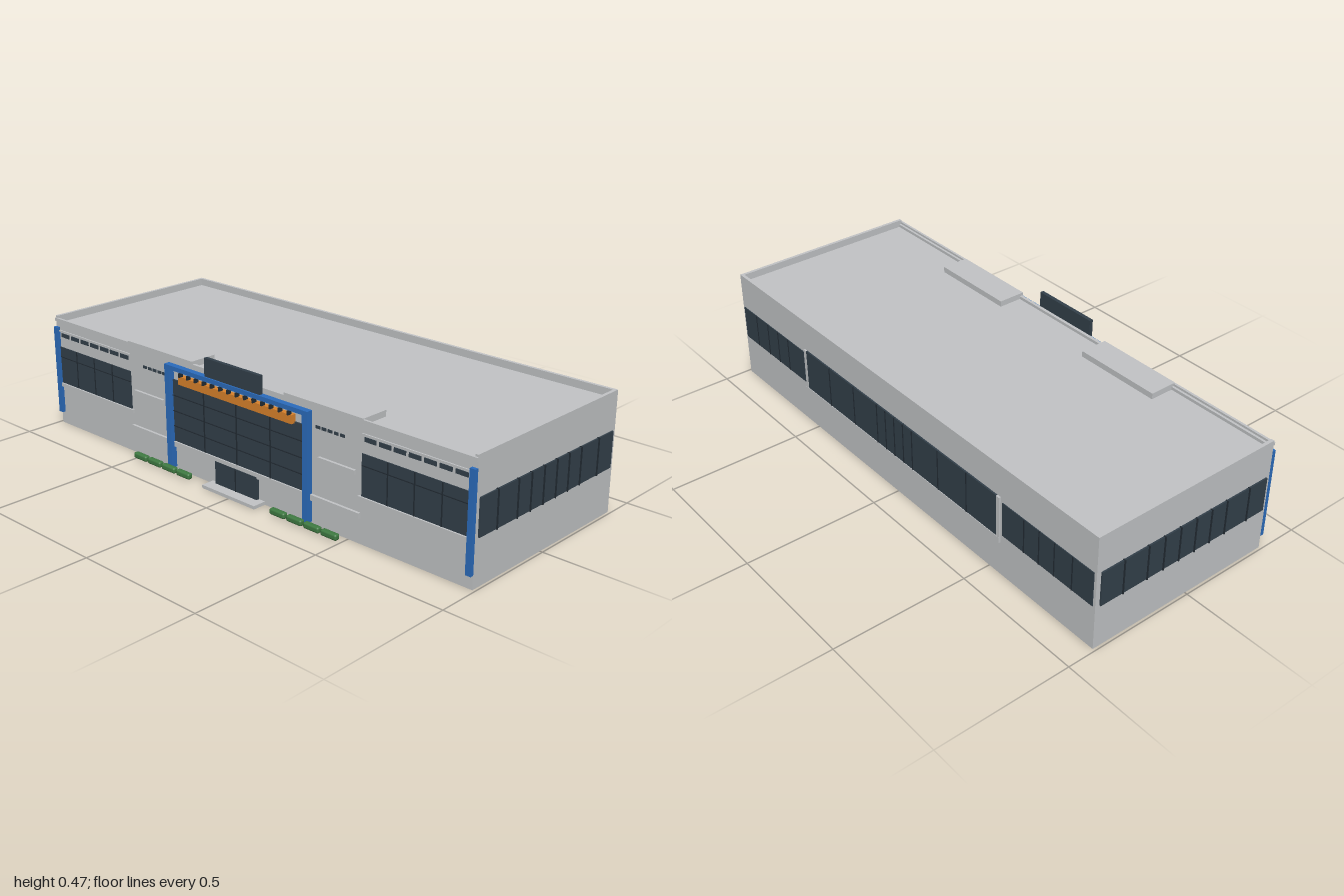
import * as THREE from 'three';
import { RoundedBoxGeometry } from 'three/addons/geometries/RoundedBoxGeometry.js';

const mat = (name, color) => {
  const m = new THREE.MeshStandardMaterial({ color });
  m.name = name;
  return m;
};

export function createModel() {
  const root = new THREE.Group();
  root.name = 'building';
  const wall = mat('concrete', 0xc2c4c6);
  const glass = mat('dark glass', 0x33404a);
  const bar = mat('mullion', 0x222b33);
  const blue = mat('blue frame', 0x2b6cbd);
  const orange = mat('orange awning', 0xd9822b);
  const green = mat('hedge green', 0x3f7a42);

  // Box given by its limits along x, y and z
  const box = (name, m, x0, x1, y0, y1, z0, z1) => {
    const mesh = new THREE.Mesh(new THREE.BoxGeometry(x1 - x0, y1 - y0, z1 - z0), m);
    mesh.position.set((x0 + x1) / 2, (y0 + y1) / 2, (z0 + z1) / 2);
    mesh.name = name;
    root.add(mesh);
    return mesh;
  };
  // Same box on both sides of x = 0
  const pair = (name, m, x0, x1, ...rest) => {
    box(name + 'Left', m, x0, x1, ...rest);
    box(name + 'Right', m, -x1, -x0, ...rest);
  };

  const F = 0.348, B = -0.395, W = 0.99;

  // Main block and roof parapet
  box('mainBlock', wall, -W, W, 0, 0.405, B, F);
  box('backParapet', wall, -W, W, 0.405, 0.432, B, B + 0.012);
  pair('sideParapet', wall, W - 0.012, W, 0.405, 0.432, B + 0.012, F);
  box('frontParapet', wall, -W + 0.012, W - 0.012, 0.405, 0.416, F - 0.012, F);
  pair('roofSlab', wall, 0.22, 0.56, 0.405, 0.427, 0.245, 0.351);
  pair('frontCoping', wall, 0.56, W, 0.412, 0.424, 0.345, 0.354);

  // Front wing windows, sills and vents
  pair('wingWindow', glass, 0.555, 0.975, 0.168, 0.312, F, F + 0.003);
  pair('wingSill', wall, 0.545, W, 0.154, 0.168, F, F + 0.009);
  pair('wingLintel', wall, 0.555, W, 0.373, 0.379, F, F + 0.005);
  for (const x of [0.66, 0.765, 0.87]) pair('wingMullion', bar, x - 0.002, x + 0.002, 0.168, 0.312, F, F + 0.005);
  pair('wingTransom', bar, 0.555, 0.975, 0.271, 0.274, F, F + 0.005);
  for (let i = 0; i < 7; i++) {
    const x = 0.565 + i * 0.058;
    pair('wingVent', glass, x, x + 0.046, 0.353, 0.368, F, F + 0.003);
  }
  for (let i = 0; i < 5; i++) {
    const x = 0.36 + i * 0.026;
    pair('smallVent', glass, x, x + 0.018, 0.342, 0.352, F, F + 0.003);
  }

  // Wall ledges
  pair('shortLedge', wall, 0.375, 0.53, 0.234, 0.249, F, F + 0.01);
  box('longLedge', wall, -0.55, 0.55, 0.089, 0.109, F, F + 0.01);

  // Central curtain wall
  box('curtainWall', glass, -0.32, 0.32, 0.11, 0.34, F, F + 0.006);
  for (const x of [-0.16, 0, 0.16]) box('curtainMullion', bar, x - 0.002, x + 0.002, 0.11, 0.34, F, F + 0.009);
  for (const y of [0.168, 0.225, 0.283]) box('curtainTransom', bar, -0.32, 0.32, y - 0.0015, y + 0.0015, F, F + 0.009);

  // Blue portal and corner posts
  pair('portalPost', blue, 0.319, 0.342, 0.01, 0.397, F, 0.371);
  box('portalBeam', blue, -0.319, 0.319, 0.381, 0.397, F, 0.371);
  pair('cornerPost', blue, 0.97, 0.991, 0.048, 0.39, F, 0.361);

  // Awning with small brackets, and roof sign board
  box('awning', orange, -0.275, 0.27, 0.335, 0.366, F, 0.368);
  for (let i = 0; i < 14; i++) {
    const x = -0.26 + i * 0.04;
    box('awningBracket', bar, x - 0.003, x + 0.003, 0.366, 0.381, 0.36, 0.377);
  }
  box('roofBoard', glass, -0.135, 0.13, 0.4, 0.466, 0.357, 0.371);

  // Entrance
  box('door', glass, -0.105, 0.097, 0.012, 0.095, F, 0.36);
  box('doorMullion', bar, -0.006, -0.002, 0.012, 0.095, F, 0.362);
  box('entranceStep', wall, -0.13, 0.125, 0, 0.012, F, 0.4);

  // Hedges
  for (const s of [-1, 1]) for (let i = 0; i < 4; i++) {
    const hedge = new THREE.Mesh(new RoundedBoxGeometry(0.068, 0.022, 0.022, 2, 0.007), green);
    hedge.position.set(s * (0.232 + i * 0.0765), 0.019, 0.392);
    hedge.name = 'hedge';
    root.add(hedge);
  }

  // Side window bands
  pair('sideWindow', glass, W, 0.996, 0.167, 0.296, -0.378, 0.333);
  for (const z of [0.25, 0.148, 0.08, 0.013, -0.055, -0.122, -0.19, -0.29])
    pair('sideMullion', bar, W, 1.0, 0.166, 0.298, z - 0.002, z + 0.002);

  // Back windows
  box('backWindow', glass, -0.54, 0.54, 0.154, 0.312, B - 0.006, B);
  box('backSill', wall, -0.555, 0.555, 0.131, 0.154, B - 0.008, B);
  pair('backJamb', wall, 0.54, 0.555, 0.154, 0.312, B - 0.007, B);
  for (const x of [-0.39, -0.24, -0.1, -0.05, 0, 0.05, 0.1, 0.24, 0.39])
    box('backMullion', bar, x - 0.002, x + 0.002, 0.154, 0.312, B - 0.008, B);
  pair('backWingWindow', glass, 0.565, 0.98, 0.167, 0.296, B - 0.003, B);
  for (const x of [0.67, 0.74, 0.81, 0.89])
    pair('backWingMullion', bar, x - 0.002, x + 0.002, 0.167, 0.296, B - 0.005, B);

  return root;
}
